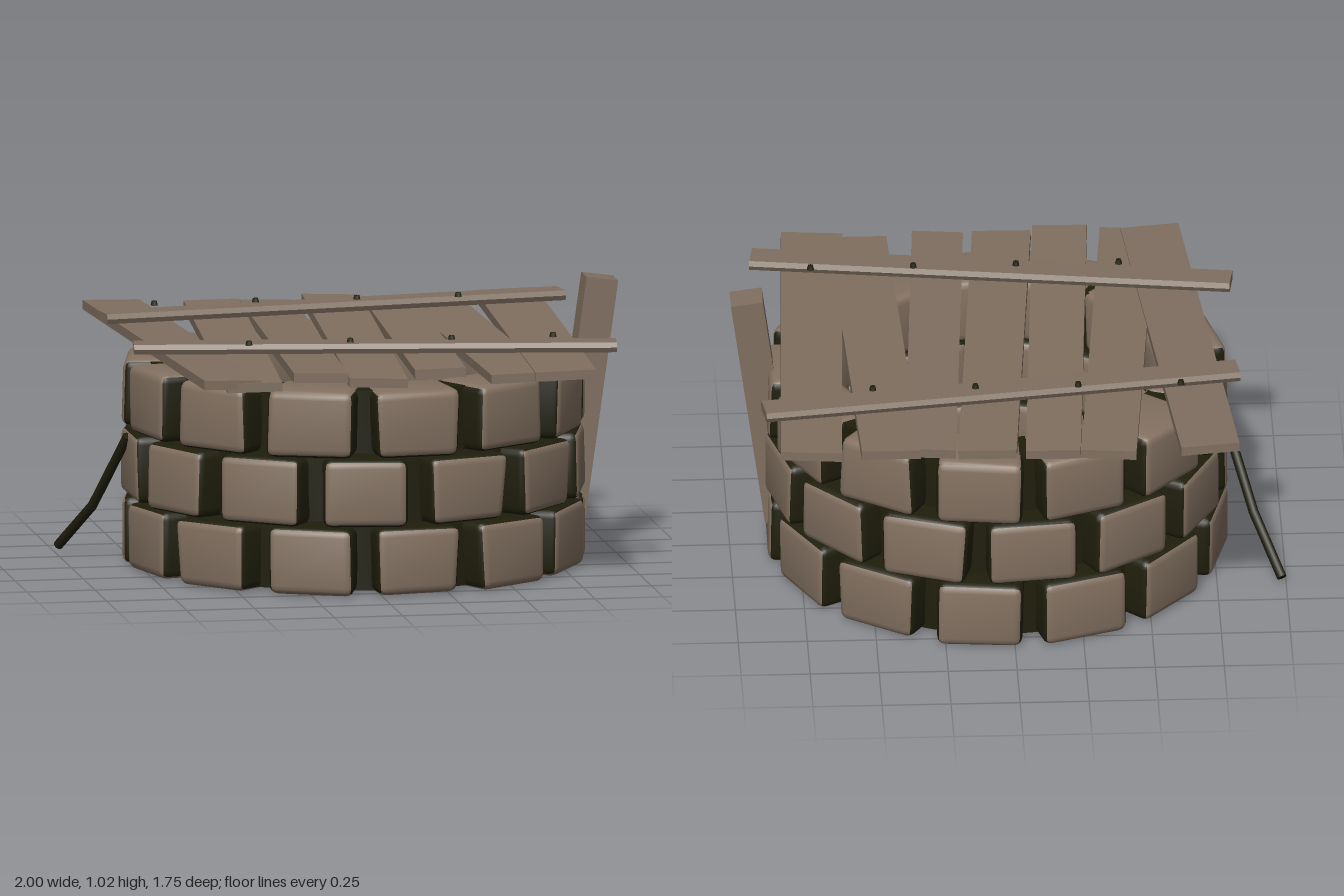
import * as THREE from 'three';
import { toCreasedNormals, mergeVertices } from 'three/addons/utils/BufferGeometryUtils.js';
import { RoundedBoxGeometry } from 'three/addons/geometries/RoundedBoxGeometry.js';

const material = (name, color) => {
  const m = new THREE.MeshStandardMaterial({ color });
  m.name = name;
  return m;
};

// Small seeded generator returning -1..1
function seeded(seed) {
  let s = seed;
  return () => {
    s = (s * 16807) % 2147483647;
    return (s / 2147483647) * 2 - 1;
  };
}

export function createModel() {
  const stone = material('stone', 0x837161);
  const wood = material('weathered wood', 0x806f60);
  const dark = material('dark moss and iron', 0x1f1e0c);
  const model = new THREE.Group();
  model.name = 'coveredWell';

  const add = (parent, name, geometry, mat) => {
    const mesh = new THREE.Mesh(geometry, mat);
    mesh.name = name;
    parent.add(mesh);
    return mesh;
  };
  const group = (name) => {
    const g = new THREE.Group();
    g.name = name;
    model.add(g);
    return g;
  };

  // Wedge-shaped stone: wider on the outside (+x), each corner nudged a little.
  // The box keeps one geometry group per side, so the joints can be mossy.
  const random = seeded(4711);
  const DEPTH = 0.26, HEIGHT = 0.245, WIDTH = 0.318;
  function stoneGeometry() {
    const source = new RoundedBoxGeometry(DEPTH, HEIGHT, WIDTH, 2, 0.032);
    source.deleteAttribute('uv');
    source.deleteAttribute('normal');
    const g = mergeVertices(source, 1e-4);
    const p = g.attributes.position;
    const nudge = Array.from({ length: 8 }, () => [random() * 0.007, random() * 0.003, random() * 0.01]);
    for (let i = 0; i < p.count; i++) {
      const x = p.getX(i), y = p.getY(i), z = p.getZ(i);
      const u = x / DEPTH + 0.5, v = y / HEIGHT + 0.5, w = z / WIDTH + 0.5;
      const d = [0, 0, 0];
      nudge.forEach((n, c) => {
        const k = (c & 1 ? u : 1 - u) * (c & 2 ? v : 1 - v) * (c & 4 ? w : 1 - w);
        for (let a = 0; a < 3; a++) d[a] += n[a] * k;
      });
      p.setXYZ(i, x + d[0], y + d[1], z * (0.91 + 0.09 * u) + d[2]);
    }
    return toCreasedNormals(g, 0.5);
  }

  // Three courses of thirteen stones, the middle one shifted by half a stone
  const wall = group('stoneWall');
  wall.position.x = 0.035;
  const COUNT = 13;
  for (let row = 0; row < 3; row++) {
    const y = 0.13 + row * 0.2515;
    const sides = [stone, stone, row < 2 ? dark : stone, row > 0 ? dark : stone, dark, dark];
    for (let i = 0; i < COUNT; i++) {
      const a = ((i + (row % 2) / 2) / COUNT) * Math.PI * 2;
      const s = add(wall, 'wallStone', stoneGeometry(), sides);
      s.position.set(Math.cos(a) * 0.7, y, Math.sin(a) * 0.7);
      s.rotation.y = -a;
    }
    // Mossy filling between the stones
    const h = 0.115;
    const ring = [[0.74, -h], [0.74, h], [0.6, h], [0.6, -h], [0.74, -h]]
      .map(([r, dy]) => new THREE.Vector2(r, dy));
    add(wall, 'mossFilling', toCreasedNormals(new THREE.LatheGeometry(ring, 52), 0.6), dark).position.y = y;
  }

  // Lays a board geometry (length along z) from a back point to a front point
  function board(name, geometryFor, [x0, y0, z0], [x1, y1, z1], roll = 0) {
    const run = Math.hypot(x1 - x0, z1 - z0);
    const m = add(lid, name, geometryFor(run), wood);
    m.position.set((x0 + x1) / 2, (y0 + y1) / 2, (z0 + z1) / 2);
    m.rotation.order = 'YXZ';
    m.rotation.set(Math.atan2(y0 - y1, run), Math.atan2(x1 - x0, z1 - z0), roll);
  }

  // Lid planks: back x, y, z, front x, y, z, width, roll
  const lid = group('lid');
  [
    [-0.706, 0.823, -0.864, -0.556, 0.803, 0.861, 0.212, -0.03],
    [-0.337, 0.812, -0.870, -0.476, 0.792, 0.864, 0.200, 0.02],
    [-0.137, 0.808, -0.854, -0.230, 0.818, 0.850, 0.198, -0.02],
    [0.102, 0.820, -0.866, -0.020, 0.795, 0.858, 0.212, -0.03],
    [0.307, 0.808, -0.828, 0.214, 0.818, 0.818, 0.185, 0.03],
    [0.449, 0.812, -0.840, 0.505, 0.795, 0.834, 0.214, 0.02],
    [0.740, 0.823, -0.862, 0.668, 0.803, 0.856, 0.222, 0.03],
  ].forEach(([x0, y0, z0, x1, y1, z1, w, roll]) =>
    board('plank', (run) => new THREE.BoxGeometry(w, 0.034, run), [x0, y0, z0], [x1, y1, z1], roll));

  // Cross boards with worn long edges
  const section = new THREE.Shape(
    [[-0.059, 0], [-0.05, -0.018], [0.05, -0.018], [0.059, 0], [0.05, 0.018], [-0.05, 0.018]]
      .map(([x, y]) => new THREE.Vector2(x, y)));
  const crossBoard = (run) =>
    new THREE.ExtrudeGeometry(section, { depth: run, bevelEnabled: false }).translate(0, 0, -run / 2);
  board('backCrossBoard', crossBoard, [-0.826, 0.864, -0.34], [0.9, 0.864, -0.585]);
  board('frontCrossBoard', crossBoard, [-0.83, 0.864, 0.34], [0.9, 0.864, 0.583]);

  // Nail heads
  for (let i = 0; i < 4; i++) {
    for (const [x, z] of [[-0.615, -0.468], [-0.428, 0.463]]) {
      const nail = add(lid, 'nailHead', new THREE.CylinderGeometry(0.01, 0.014, 0.016, 6), dark);
      nail.position.set(x + i * 0.372, 0.889, z);
    }
  }

  // Leaning post on the left side
  const post = add(model, 'post', new THREE.BoxGeometry(0.117, 0.9, 0.117), wood);
  post.position.set(0.878, 0.575, 0);
  post.rotation.z = -0.138;

  // Bent iron rod hanging from the right side
  const rod = group('bentRod');
  const points = [[-0.795, 0.48, 0], [-0.89, 0.2, -0.19], [-0.983, 0.03, -0.37]]
    .map((p) => new THREE.Vector3(...p));
  for (let i = 0; i < 2; i++) {
    const dir = points[i + 1].clone().sub(points[i]);
    const m = add(rod, 'rodSegment', new THREE.CylinderGeometry(0.018, 0.018, dir.length() + 0.008, 8), dark);
    m.position.copy(points[i]).addScaledVector(dir, 0.5);
    m.quaternion.setFromUnitVectors(new THREE.Vector3(0, 1, 0), dir.normalize());
  }

  return model;
}
